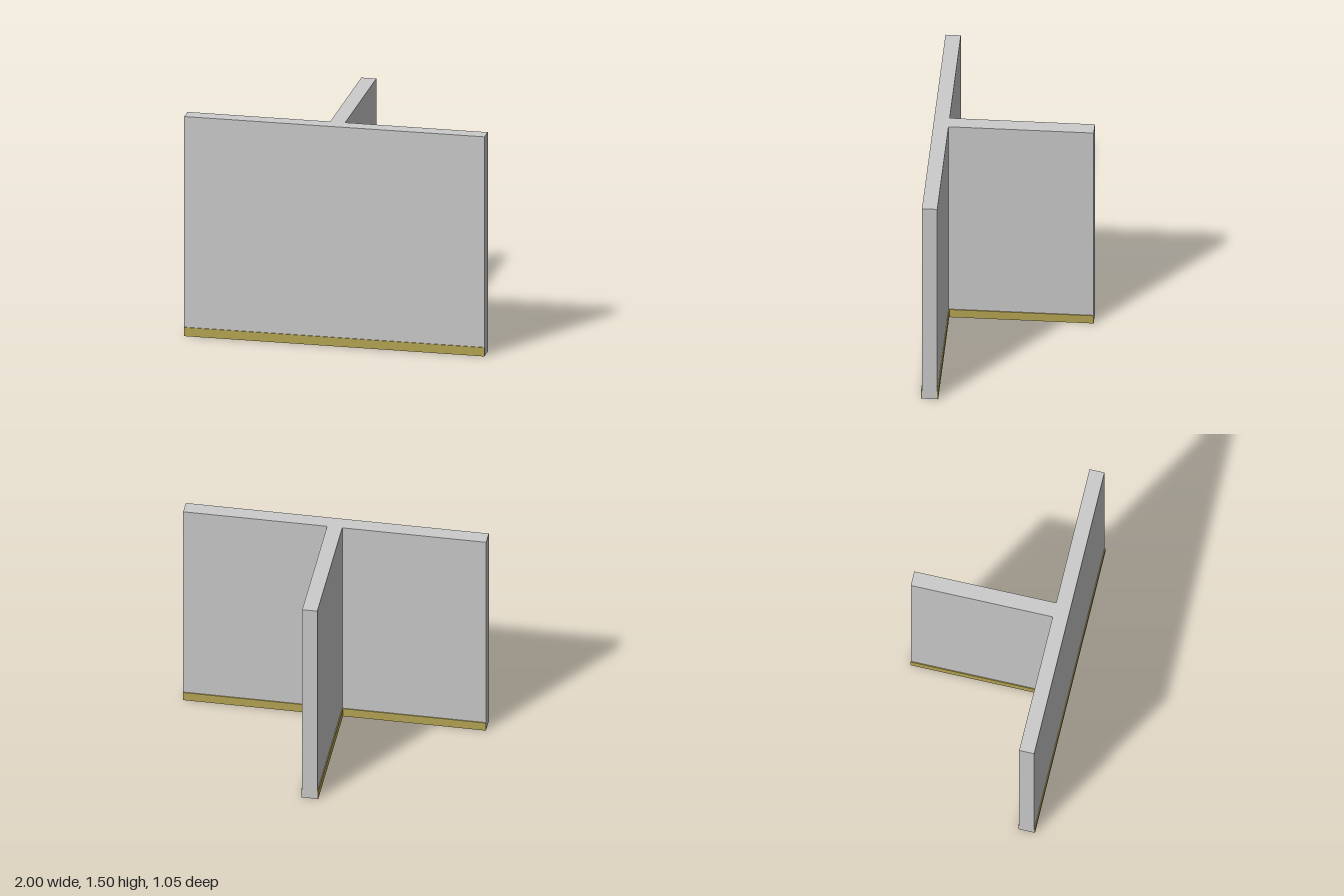
import * as THREE from 'three';

export function createModel() {
  const model = new THREE.Group();
  model.name = 'teeWall';

  const plaster = new THREE.MeshStandardMaterial({ color: 0xcccccc });
  plaster.name = 'grey plaster';
  const wood = new THREE.MeshStandardMaterial({ color: 0xb8a755 });
  wood.name = 'ochre skirting';

  const height = 1.5, half = 0.05, trim = 0.006, trimHeight = 0.06;
  const front = 0.521, inner = 0.421, back = -0.527;

  // T-shaped wall, extruded upward from its plan (plan y is -z)
  const plan = new THREE.Shape([
    [-1, -front], [1, -front], [1, -inner], [half, -inner],
    [half, -back], [-half, -back], [-half, -inner], [-1, -inner],
  ].map(([x, y]) => new THREE.Vector2(x, y)));
  const wallGeometry = new THREE.ExtrudeGeometry(plan, { depth: height, bevelEnabled: false });
  wallGeometry.rotateX(-Math.PI / 2);
  const wall = new THREE.Mesh(wallGeometry, plaster);
  wall.name = 'wall';
  model.add(wall);

  // Skirting board filling a rectangle in plan
  function skirting(name, x0, x1, z0, z1) {
    const board = new THREE.Mesh(new THREE.BoxGeometry(x1 - x0, trimHeight, z1 - z0), wood);
    board.position.set((x0 + x1) / 2, trimHeight / 2, (z0 + z1) / 2);
    board.name = name;
    model.add(board);
  }

  skirting('frontSkirting', -1, 1, front, front + trim);
  skirting('leftBackSkirting', half, 1, inner - trim, inner);
  skirting('rightBackSkirting', -1, -half, inner - trim, inner);
  skirting('leftStemSkirting', half, half + trim, back, inner - trim);
  skirting('rightStemSkirting', -half - trim, -half, back, inner - trim);

  return model;
}
